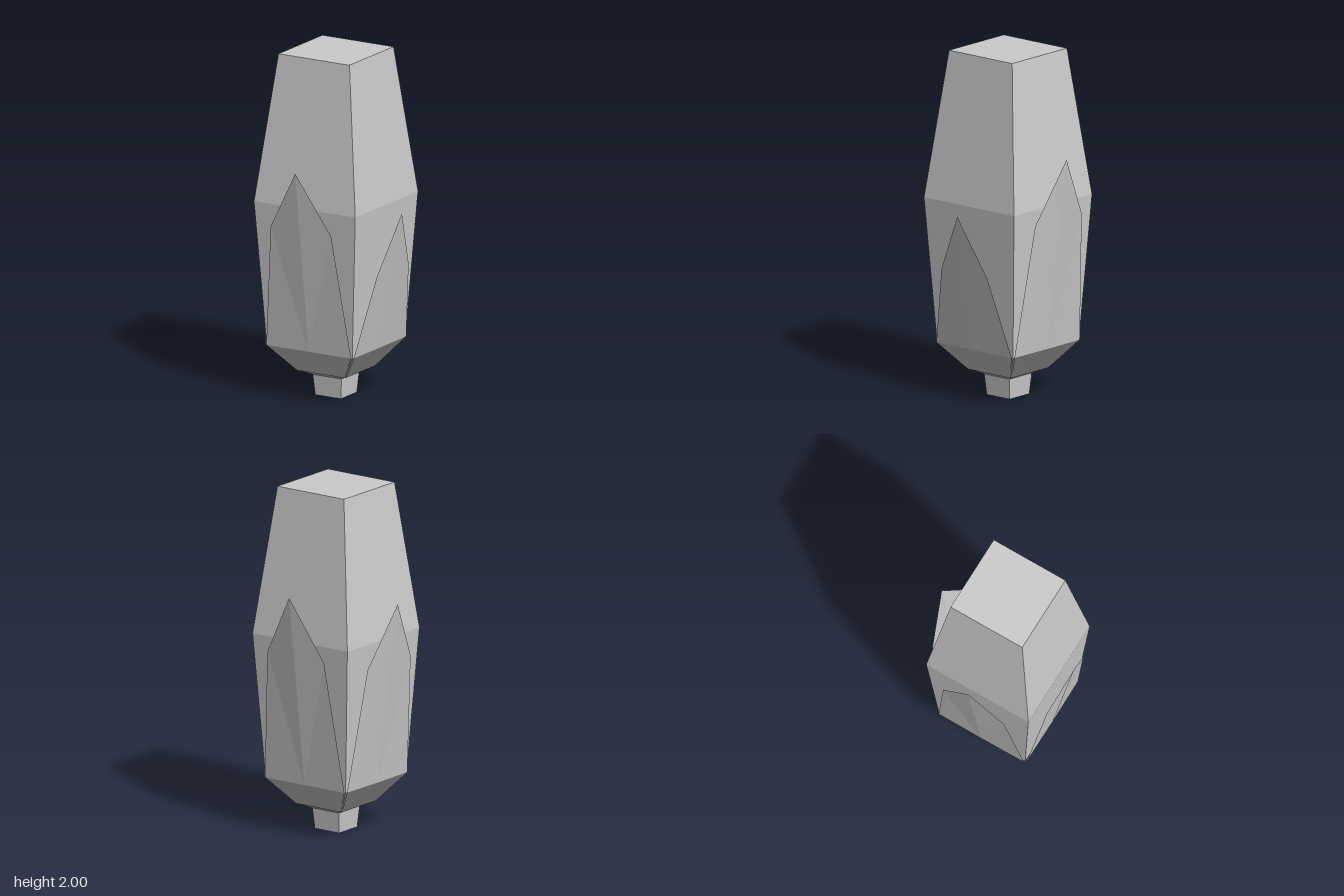
import * as THREE from 'three';

const material = new THREE.MeshStandardMaterial({ color: 0xcccccc, flatShading: true });
const leafMaterial = new THREE.MeshStandardMaterial({ color: 0xcccccc, flatShading: true, side: THREE.DoubleSide });

// Square solid from a [half width, height] profile, listed from bottom to top
function squareTurned(name, profile) {
  const points = profile.map(([half, y]) => new THREE.Vector2(half * Math.SQRT2, y));
  const geometry = new THREE.LatheGeometry(points, 4, Math.PI / 4).toNonIndexed();
  geometry.computeVertexNormals();
  const mesh = new THREE.Mesh(geometry, material);
  mesh.name = name;
  return mesh;
}

// Husk leaf on the +z side: rows of [half width, y, edge z, middle z], folded down its middle
function leaf(name, shoulderWidth, shoulderY, tipY, angle) {
  const t = (shoulderY - 0.31) / (tipY - 0.31);
  const rows = [
    [0.157, 0.15, 0.163, 0.163],
    [0.28, 0.31, 0.291, 0.293],
    [shoulderWidth, shoulderY, 0.375, 0.293 + 0.143 * t],
    [0, tipY, 0.436, 0.436],
  ];
  const positions = [];
  for (let i = 0; i < rows.length - 1; i++) {
    const [w0, y0, e0, m0] = rows[i];
    const [w1, y1, e1, m1] = rows[i + 1];
    const bl = [-w0, y0, e0], bm = [0, y0, m0], br = [w0, y0, e0];
    const tl = [-w1, y1, e1], tm = [0, y1, m1], tr = [w1, y1, e1];
    positions.push(...bl, ...bm, ...tl, ...bm, ...br, ...tr);
    if (w1 > 0) positions.push(...bm, ...tm, ...tl, ...bm, ...tr, ...tm);
  }
  const geometry = new THREE.BufferGeometry();
  geometry.setAttribute('position', new THREE.Float32BufferAttribute(positions, 3));
  geometry.computeVertexNormals();
  const mesh = new THREE.Mesh(geometry, leafMaterial);
  mesh.name = name;
  mesh.rotation.y = angle;
  return mesh;
}

export function createModel() {
  const model = new THREE.Group();
  model.name = 'cornCob';

  // Short stalk and the faceted cob above it
  model.add(squareTurned('stalk', [[0, 0], [0.085, 0], [0.095, 0.12], [0, 0.12]]));
  model.add(squareTurned('cob', [
    [0, 0.12], [0.095, 0.12], [0.158, 0.15], [0.283, 0.31], [0.335, 1.15], [0.235, 2], [0, 2],
  ]));

  // Four husk leaves of differing length
  model.add(leaf('frontLeaf', 0.2, 1.03, 1.38, 0));
  model.add(leaf('leftLeaf', 0.17, 0.77, 1.11, Math.PI / 2));
  model.add(leaf('backLeaf', 0.2, 1.07, 1.43, Math.PI));
  model.add(leaf('rightLeaf', 0.2, 1.02, 1.37, -Math.PI / 2));
  return model;
}
